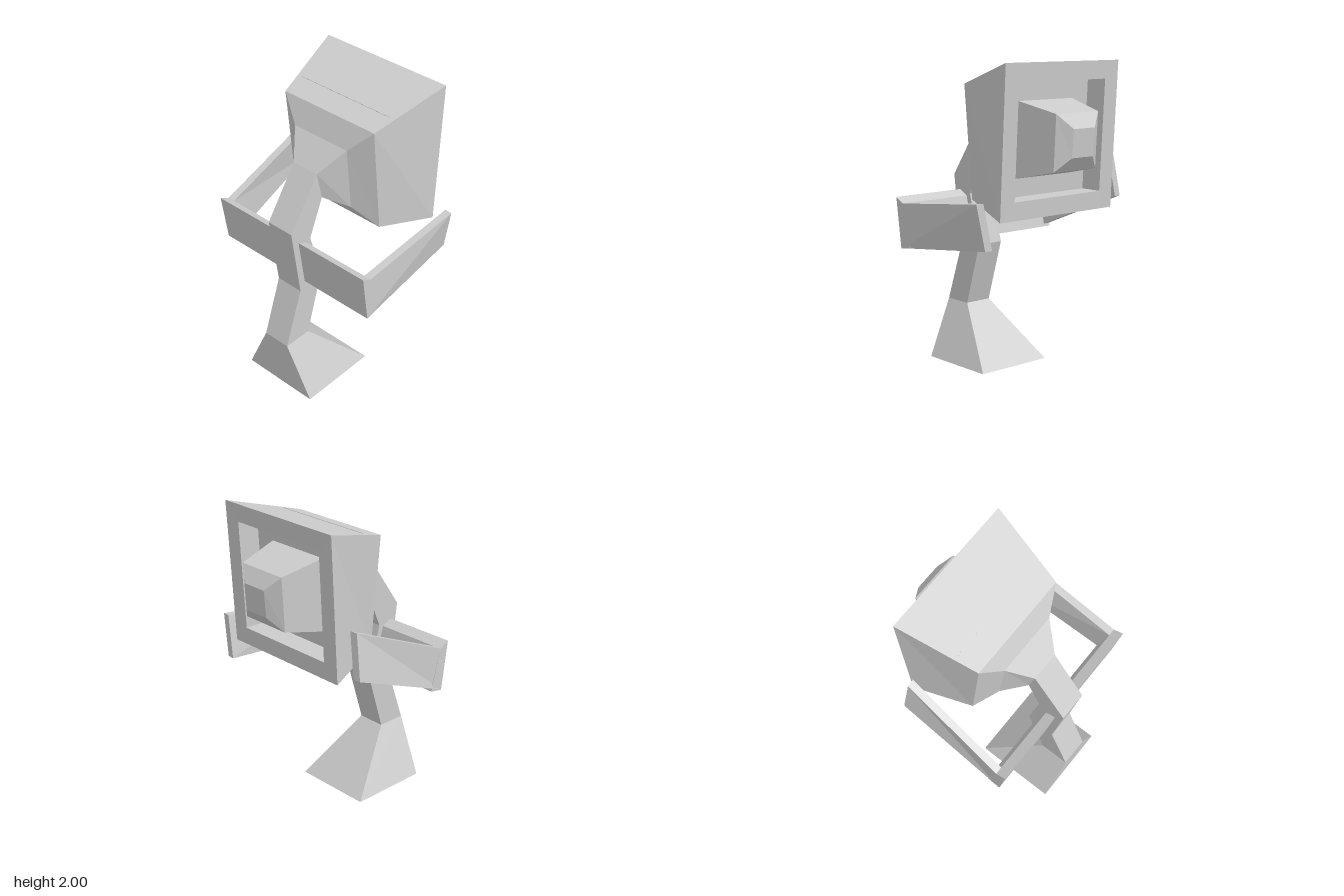
import * as THREE from 'three';

const material = new THREE.MeshStandardMaterial({ color: 0xcccccc, flatShading: true });

// Closed loft through four-cornered rings, wound so that the faces point outwards
function loft(name, rings) {
  const tris = [];
  const quad = (a, b, c, d) => tris.push([a, b, c], [a, c, d]);
  for (let i = 0; i < rings.length - 1; i++) {
    for (let k = 0; k < 4; k++) {
      const n = (k + 1) % 4;
      quad(rings[i][k], rings[i][n], rings[i + 1][n], rings[i + 1][k]);
    }
  }
  const first = rings[0], last = rings[rings.length - 1];
  quad(first[3], first[2], first[1], first[0]);
  quad(last[0], last[1], last[2], last[3]);

  let volume = 0;
  for (const [a, b, c] of tris) volume += a.dot(b.clone().cross(c));
  if (volume < 0) tris.forEach((t) => t.reverse());

  const geometry = new THREE.BufferGeometry().setFromPoints(tris.flat());
  geometry.computeVertexNormals();
  const mesh = new THREE.Mesh(geometry, material);
  mesh.name = name;
  return mesh;
}

const v = (x, y, z) => new THREE.Vector3(x, y, z);

// Ring spanning xl..xr, with its front/upper edge and its back/lower edge given as y, z
const ring = (xl, xr, ya, za, yb, zb) => [v(xl, ya, za), v(xr, ya, za), v(xr, yb, zb), v(xl, yb, zb)];

// Ring of the narrow column
const slim = (ya, za, yb, zb) => ring(-0.105, 0.085, ya, za, yb, zb);

export function createModel() {
  const model = new THREE.Group();
  model.name = 'figure';

  const ankle = slim(0.375, 0.595, 0.375, 0.4);
  const nape = slim(1.56, 0.297, 1.37, 0.255);

  // Flared foot and bent spine
  model.add(loft('foot', [ring(-0.285, 0.26, 0, 0.575, 0, 0.03), ankle]));
  model.add(loft('spine', [ankle, slim(0.755, 0.46, 0.79, 0.272), slim(1.235, 0.525, 1.12, 0.362), nape]));

  // Head: funnel from the neck, box, rim and recessed face
  model.add(loft('head', [
    nape,
    ring(-0.22, 0.2, 1.71, 0.16, 1.28, 0.12),
    ring(-0.365, 0.348, 1.86, 0.09, 1.148, 0.022),
    ring(-0.48, 0.46, 2, -0.423, 1.06, -0.37),
    ring(-0.37, 0.35, 1.885, -0.416, 1.175, -0.376),
    ring(-0.37, 0.35, 1.885, -0.266, 1.175, -0.226),
  ]));

  // Blunt snout rising from the recess
  model.add(loft('snout', [
    ring(-0.235, 0.215, 1.765, -0.255, 1.29, -0.23),
    ring(-0.185, 0.167, 1.7, -0.537, 1.35, -0.517),
    ring(-0.095, 0.08, 1.61, -0.598, 1.435, -0.583),
  ]));

  // Thin seam across the top of the head
  const seam = new THREE.Mesh(new THREE.BoxGeometry(0.705, 0.006, 0.006), material);
  seam.name = 'topSeam';
  seam.position.set(-0.008, 1.9, -0.057);
  seam.rotation.x = 0.27;
  model.add(seam);

  // Shoulder bar: one tilted section from side to side
  const barEnd = (x) => [v(x, 1.14, 0.465), v(x, 1.105, 0.397), v(x, 0.83, 0.328), v(x, 0.812, 0.42)];
  model.add(loft('shoulderBar', [barEnd(-0.605), barEnd(0.605)]));

  // Forearms: same root on both sides, differently raised and twisted ends
  const forearm = (name, side, top, bottom) => {
    const section = (xTop, yTop, zTop, xBot, yBot, zBot) => [
      v(side * xTop, yTop, zTop), v(side * (xTop - 0.05), yTop, zTop - 0.004),
      v(side * (xBot - 0.05), yBot, zBot - 0.004), v(side * xBot, yBot, zBot),
    ];
    model.add(loft(name, [
      section(0.605, 1.105, 0.401, 0.605, 0.815, 0.42),
      section(...top, ...bottom),
    ]));
  };
  forearm('leftForearm', 1, [0.62, 1.187, -0.345], [0.568, 0.902, -0.36]);
  forearm('rightForearm', -1, [0.57, 1.403, -0.303], [0.62, 1.115, -0.322]);

  return model;
}
